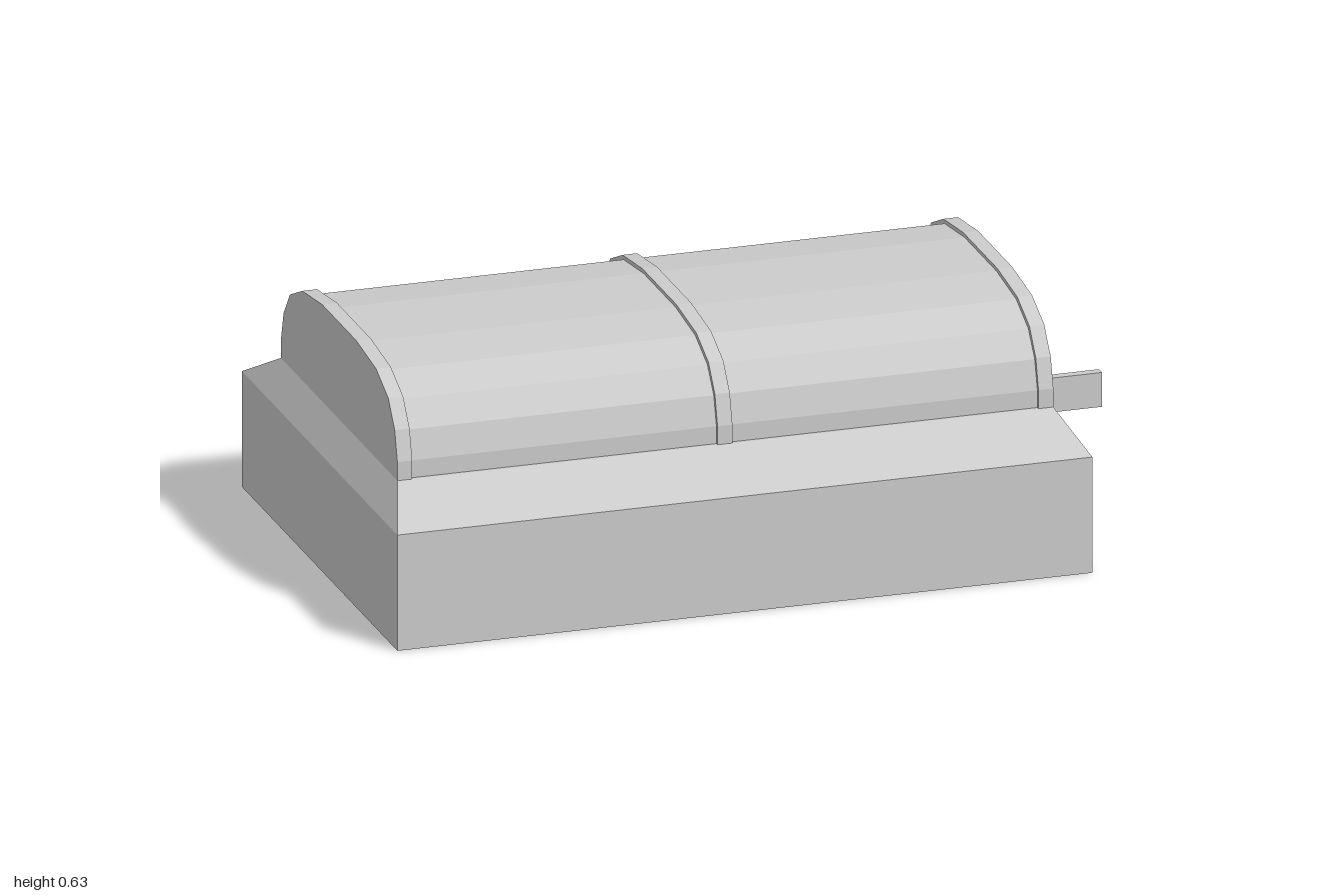
import * as THREE from 'three';

const material = new THREE.MeshStandardMaterial({ color: 0xcccccc, flatShading: true });

// Half outline of the roof cross-section: [half width, height]
const ROOF = [[0.457, 0.381], [0.457, 0.43], [0.436, 0.506], [0.386, 0.571], [0.29, 0.614], [0.134, 0.633]];

function add(parent, name, geometry) {
  const mesh = new THREE.Mesh(geometry, material);
  mesh.name = name;
  parent.add(mesh);
  return mesh;
}

// Box given by its limits on each axis
function box(x0, x1, y0, y1, z0, z1) {
  return new THREE.BoxGeometry(x1 - x0, y1 - y0, z1 - z0)
    .translate((x0 + x1) / 2, (y0 + y1) / 2, (z0 + z1) / 2);
}

// Extrudes a shape drawn in the z-y plane from x0 to x1
function extrudeX(shape, x0, x1) {
  return new THREE.ExtrudeGeometry(shape, { depth: x1 - x0, bevelEnabled: false })
    .rotateY(Math.PI / 2).translate(x0, 0, 0);
}

// Symmetric roof section, shrunk inwards by inset
function roofShape(inset) {
  const half = ROOF.map(([w, h], i) => new THREE.Vector2(w - inset, i === 0 ? h : h - inset * Math.min(1, i / 3)));
  const mirrored = half.map(p => new THREE.Vector2(-p.x, p.y)).reverse();
  return new THREE.Shape([...half, ...mirrored]);
}

function rectangle(Type, w, y0, y1) {
  return new Type([[-w, y0], [w, y0], [w, y1], [-w, y1]].map(([x, y]) => new THREE.Vector2(x, y)));
}

export function createModel() {
  const model = new THREE.Group();
  model.name = 'ridgedRoofBlock';

  // Base block
  add(model, 'base', box(-1, 0.78, 0, 0.3, -0.61, 0.61));

  // Sloping shoulder: a box whose top corners are pulled inwards
  const shoulder = box(-1, 0.78, 0.3, 0.382, -0.61, 0.61);
  const pos = shoulder.attributes.position;
  for (let i = 0; i < pos.count; i++) {
    if (pos.getY(i) < 0.35) continue;
    pos.setX(i, pos.getX(i) < 0 ? -0.95 : 0.73);
    pos.setZ(i, Math.sign(pos.getZ(i)) * 0.457);
  }
  shoulder.computeVertexNormals();
  add(model, 'shoulder', shoulder);

  // Faceted roof between three slightly raised bands
  add(model, 'roof', extrudeX(roofShape(0.009), -0.94, 0.72));
  for (const [x0, x1] of [[-0.95, -0.912], [-0.13, -0.092], [0.692, 0.73]]) {
    add(model, 'roofBand', extrudeX(roofShape(0), x0, x1));
  }

  // Framed panel on the end wall
  const frame = rectangle(THREE.Shape, 0.217, 0.414, 0.578);
  frame.holes.push(rectangle(THREE.Path, 0.205, 0.427, 0.565));
  add(model, 'panelFrame', extrudeX(frame, 0.725, 0.75));
  add(model, 'panel', box(0.725, 0.739, 0.42, 0.57, -0.21, 0.21));

  // Flat tab sticking out of the base
  add(model, 'tab', box(0.77, 1, 0.197, 0.286, -0.012, 0.012));

  return model;
}
